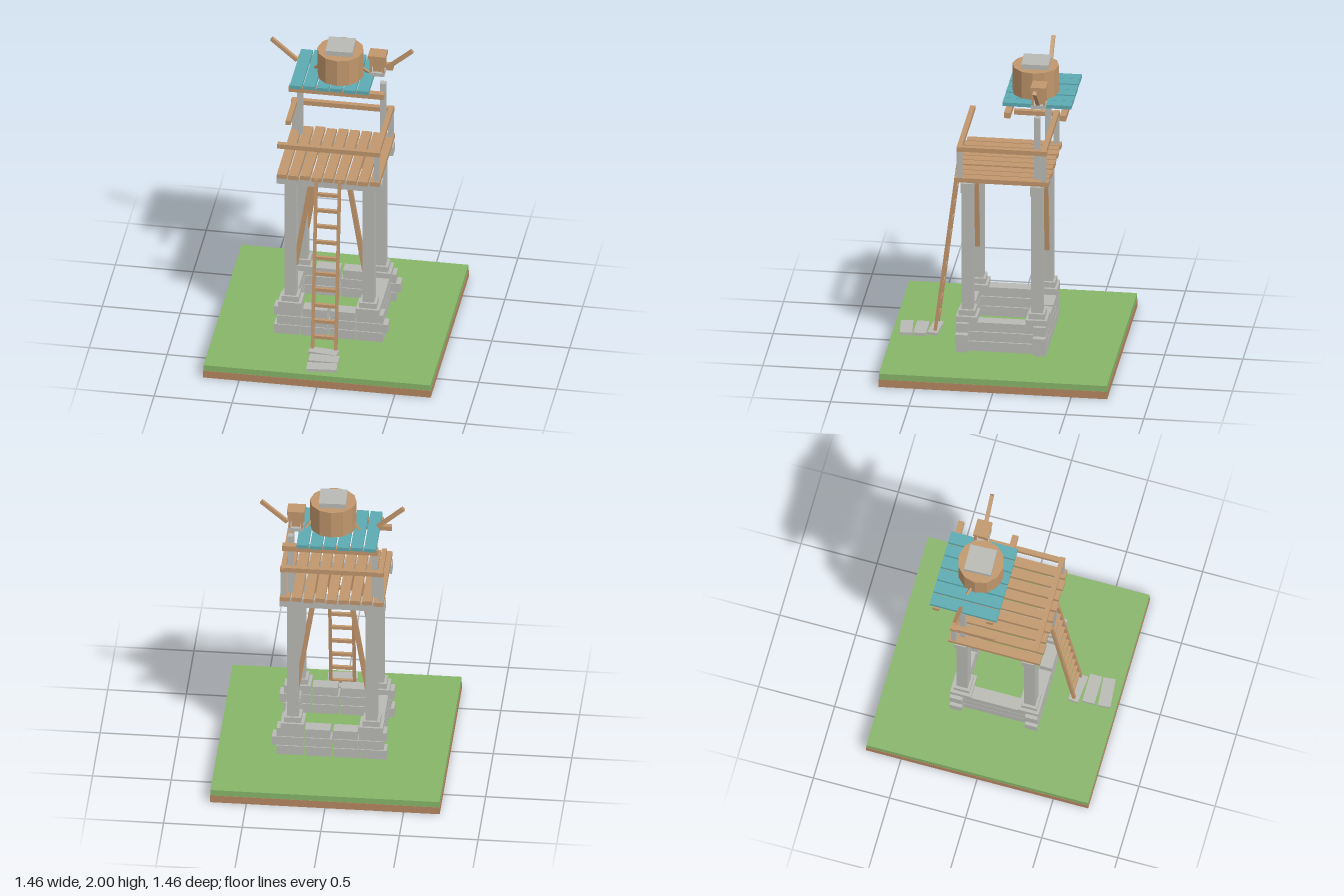
import * as THREE from 'three';

const mat = (name, color) => {
  const m = new THREE.MeshStandardMaterial({ color });
  m.name = name;
  return m;
};

export function createModel() {
  const root = new THREE.Group();
  root.name = 'watchtower';
  const wood = mat('wood', 0xc0966c);
  const dirt = mat('dirt', 0xb58560);
  const grass = mat('grass', 0x86b468);
  const stone = mat('stone', 0xb8b9b3);
  const teal = mat('teal paint', 0x5caab1);

  const part = (name, parent = root) => {
    const g = new THREE.Group();
    g.name = name;
    parent.add(g);
    return g;
  };
  // box given by its minimum and maximum on each axis
  const box = (parent, name, m, x0, x1, y0, y1, z0, z1, turn = 0) => {
    const mesh = new THREE.Mesh(new THREE.BoxGeometry(x1 - x0, y1 - y0, z1 - z0), m);
    mesh.position.set((x0 + x1) / 2, (y0 + y1) / 2, (z0 + z1) / 2);
    mesh.rotation.y = turn;
    mesh.name = name;
    parent.add(mesh);
    return mesh;
  };
  // square bar from point a to point b
  const bar = (parent, name, m, a, b, w, d = w) => {
    const p = new THREE.Vector3(...a), q = new THREE.Vector3(...b);
    const mesh = new THREE.Mesh(new THREE.BoxGeometry(w, p.distanceTo(q), d), m);
    mesh.position.copy(p).add(q).multiplyScalar(0.5);
    mesh.quaternion.setFromUnitVectors(new THREE.Vector3(0, 1, 0), q.sub(p).normalize());
    mesh.name = name;
    parent.add(mesh);
  };

  // ground slab
  box(root, 'dirtSlab', dirt, -0.73, 0.73, 0, 0.05, -0.73, 0.73);
  box(root, 'grassSlab', grass, -0.728, 0.728, 0.05, 0.09, -0.728, 0.728);

  // stepping stones in front of the ladder
  const path = part('steppingStones');
  box(path, 'step', stone, -0.095, 0.09, 0.09, 0.108, 0.43, 0.495, -0.1);
  box(path, 'step', stone, -0.08, 0.11, 0.09, 0.11, 0.51, 0.59);
  box(path, 'step', stone, -0.078, 0.113, 0.09, 0.11, 0.605, 0.685, 0.09);

  // stone foundation: three courses of blocks
  const base = part('foundation');
  const courses = [
    [0.1, 0.165, [-0.35, -0.185, -0.175, -0.01, 0.005, 0.17, 0.18, 0.35]],
    [0.17, 0.232, [-0.33, -0.175, -0.17, -0.01, 0, 0.17, 0.18, 0.38]],
    [0.237, 0.298, [-0.35, -0.175, -0.165, -0.01, 0.01, 0.17, 0.18, 0.35]],
  ];
  for (const [y0, y1, xs] of courses) {
    for (const z of [-0.247, 0.247]) {
      for (let i = 0; i < xs.length; i += 2) {
        box(base, 'stoneBlock', stone, xs[i], xs[i + 1], y0, y1, z - 0.04, z + 0.04);
      }
    }
    for (const x of [-0.275, 0.275]) {
      box(base, 'sideStone', stone, x - 0.042, x + 0.042, y0, y1, -0.205, 0.205);
    }
  }

  // legs with stepped feet, and diagonal braces
  const frame = part('legFrame');
  for (const s of [-1, 1]) for (const t of [-1, 1]) {
    const x = s * 0.25, z = t * 0.222;
    box(frame, 'legFoot', stone, x - 0.075, x + 0.075, 0.298, 0.335, z - 0.068, z + 0.068);
    box(frame, 'legCollar', stone, x - 0.055, x + 0.055, 0.335, 0.372, z - 0.052, z + 0.052);
    box(frame, 'leg', stone, x - 0.037, x + 0.037, 0.372, 1.2, z - 0.037, z + 0.037);
    bar(frame, 'brace', wood, [s * 0.125, 1.2, z], [s * 0.222, 0.59, z], 0.03);
  }
  for (const z of [-0.222, 0.222]) {
    box(frame, 'capBeam', stone, -0.337, 0.335, 1.198, 1.262, z - 0.037, z + 0.037);
  }

  // platform of nine planks
  const deck = part('platform');
  for (let i = 0; i < 9; i++) {
    const x = -0.299 + i * 0.0745, dy = (i % 3) * 0.002, dz = (i % 2) * 0.006;
    box(deck, 'deckPlank', wood, x - 0.031, x + 0.031, 1.263 + dy, 1.293 + dy, -0.302 + dz, 0.3 + dz);
  }

  // railing, open on part of the right side
  const rail = part('railing');
  for (const [x, z] of [[0.308, 0.268], [0.308, -0.268], [-0.308, -0.268]]) {
    box(rail, 'railPost', stone, x - 0.017, x + 0.017, 1.29, 1.478, z - 0.017, z + 0.017);
  }
  box(rail, 'frontRail', wood, -0.33, 0.328, 1.477, 1.509, 0.253, 0.285);
  box(rail, 'backRail', wood, -0.33, 0.328, 1.477, 1.509, -0.285, -0.253);
  box(rail, 'leftRail', wood, 0.292, 0.324, 1.478, 1.508, -0.29, 0.28);
  box(rail, 'rightRail', wood, -0.324, -0.292, 1.478, 1.508, -0.29, 0);

  // ladder leaning on the front edge
  const ladder = part('ladder');
  for (const x of [-0.075, 0.075]) {
    bar(ladder, 'ladderRail', wood, [x, 0.12, 0.455], [x, 1.29, 0.308], 0.02);
  }
  for (let i = 0; i < 10; i++) {
    const y = 0.2 + i * 0.1095, z = 0.455 - ((y - 0.12) / 1.17) * 0.147;
    box(ladder, 'rung', wood, -0.07, 0.07, y - 0.011, y + 0.011, z - 0.01, z + 0.01);
  }

  // roof: two posts, two beams and six planks
  const roof = part('roof');
  for (const x of [-0.267, 0.265]) {
    box(roof, 'roofPost', stone, x - 0.018, x + 0.018, 1.29, 1.72, -0.24, -0.203);
  }
  for (const z of [-0.39, -0.035]) {
    box(roof, 'roofBeam', wood, -0.307, 0.303, 1.718, 1.756, z - 0.02, z + 0.02);
  }
  for (let i = 0; i < 6; i++) {
    const x = -0.258 + i * 0.086, dy = (i % 2) * 0.003;
    box(roof, 'roofPlank', teal, x - 0.038, x + 0.038, 1.757 + dy, 1.781 + dy, -0.432, 0.008);
  }

  // water barrel with a stone lid and side struts
  const barrel = part('barrel');
  const tubGeo = new THREE.CylinderGeometry(0.148, 0.148, 0.185, 12).toNonIndexed();
  tubGeo.computeVertexNormals();
  const tub = new THREE.Mesh(tubGeo, wood);
  tub.name = 'tub';
  tub.position.set(0, 1.875, -0.177);
  barrel.add(tub);
  box(barrel, 'lid', stone, -0.086, 0.086, 1.966, 2, -0.267, -0.093, 0.03);
  for (const s of [-1, 1]) {
    bar(barrel, 'tubStrut', wood, [s * 0.172, 1.785, -0.222], [s * 0.13, 1.83, -0.2], 0.015);
  }

  // lantern on the roof edge
  const lamp = part('lantern');
  const lx = 0.23, lz = -0.23;
  box(lamp, 'lanternBase', stone, lx - 0.048, lx + 0.048, 1.782, 1.806, lz - 0.045, lz + 0.045);
  box(lamp, 'lanternCore', wood, lx - 0.027, lx + 0.027, 1.806, 1.905, lz - 0.025, lz + 0.025);
  for (const s of [-1, 1]) for (const t of [-1, 1]) {
    const x = lx + s * 0.04, z = lz + t * 0.036;
    box(lamp, 'lanternPost', wood, x - 0.007, x + 0.007, 1.806, 1.906, z - 0.007, z + 0.007);
  }
  box(lamp, 'lanternTop', wood, lx - 0.056, lx + 0.056, 1.905, 1.931, lz - 0.049, lz + 0.049);

  // slanted poles on both sides
  for (const s of [-1, 1]) {
    bar(root, 'slantedPole', wood, [s * 0.288, 1.825, -0.23], [s * 0.452, 1.968, -0.23], 0.024);
  }
  return root;
}
